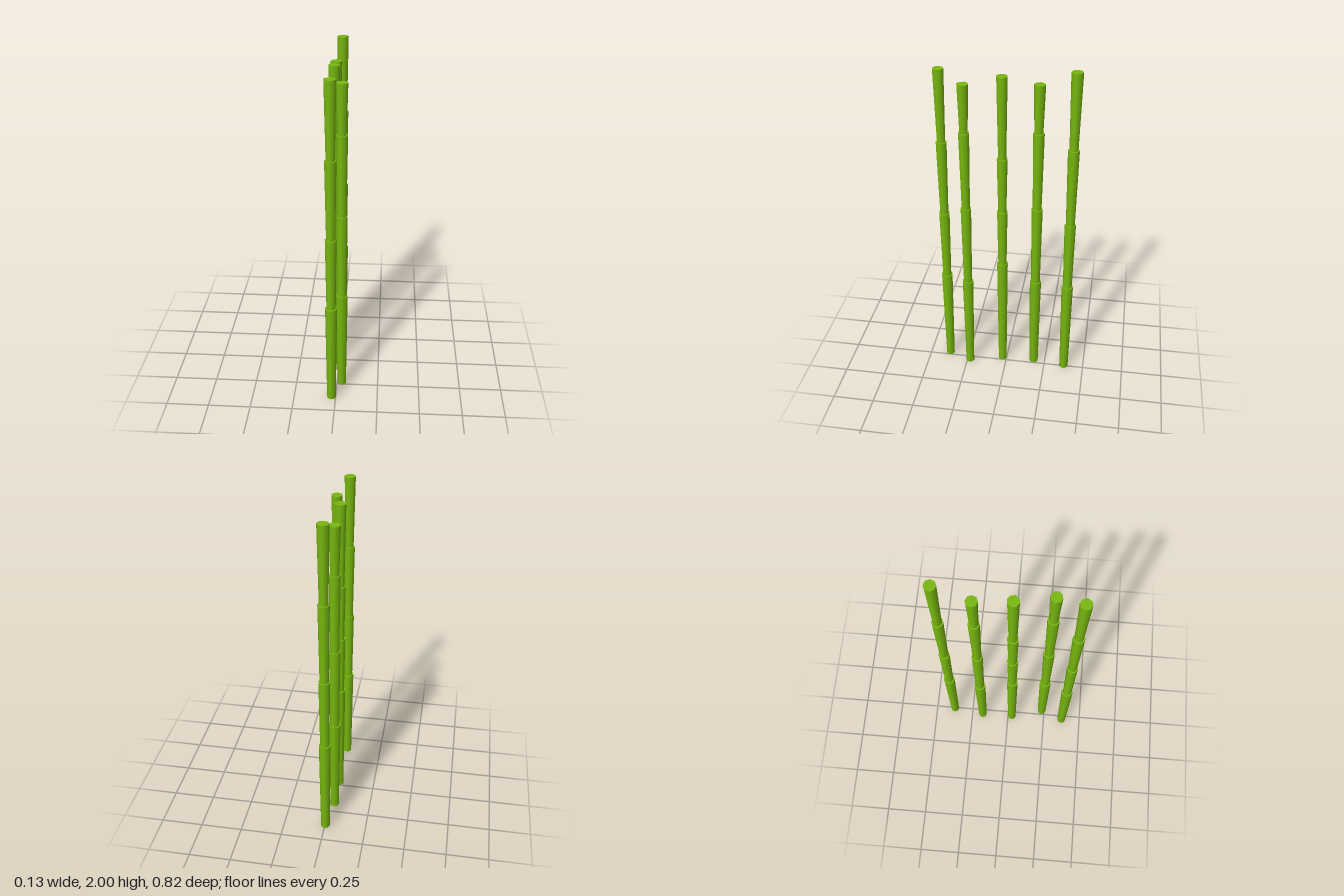
import * as THREE from 'three';

const SIDES = 8;

// x, z, turn in degrees, heights of the joints from the ground up
const STALKS = [
  { x: -0.025, z: 0.374, turn: 8, joints: [0.63, 1.07, 1.535, 1.97] },
  { x: 0.028, z: 0.232, turn: 10, joints: [0.63, 1.145, 1.625, 1.91] },
  { x: -0.026, z: 0.026, turn: 14, joints: [0.745, 1.11, 1.455, 1.945] },
  { x: -0.028, z: -0.178, turn: 2, joints: [0.63, 1.145, 1.625, 1.91] },
  { x: -0.003, z: -0.376, turn: 0, joints: [0.63, 1.07, 1.55, 2.0] },
];

// lower and upper radius of each cane segment
const RADII = [[0.027, 0.035], [0.027, 0.033], [0.026, 0.033], [0.025, 0.033]];

export function createModel() {
  const green = new THREE.MeshStandardMaterial({ color: 0x78b80f });
  green.name = 'bamboo green';
  const model = new THREE.Group();
  model.name = 'bambooStalks';

  const lathe = (points, name) => {
    const profile = points.map(([r, y]) => new THREE.Vector2(r, y));
    const mesh = new THREE.Mesh(new THREE.LatheGeometry(profile, SIDES), green);
    mesh.name = name;
    return mesh;
  };

  STALKS.forEach(({ x, z, turn, joints }, n) => {
    const stalk = new THREE.Group();
    stalk.name = `stalk${n + 1}`;
    let base = 0;
    joints.forEach((top, i) => {
      const [low, high] = RADII[i];
      // the lowest segment has a softened foot that closes its underside
      const wall = [[low, base], [high, top]];
      if (i === 0) wall.unshift([0, 0]);
      stalk.add(lathe(wall, `segment${i + 1}`));
      // flat ledge or end cap on top of each segment
      stalk.add(lathe([[high, top], [0, top]], `jointCap${i + 1}`));
      base = top;
    });
    stalk.position.set(x, 0, z);
    stalk.rotation.y = -THREE.MathUtils.degToRad(turn);
    model.add(stalk);
  });
  return model;
}
